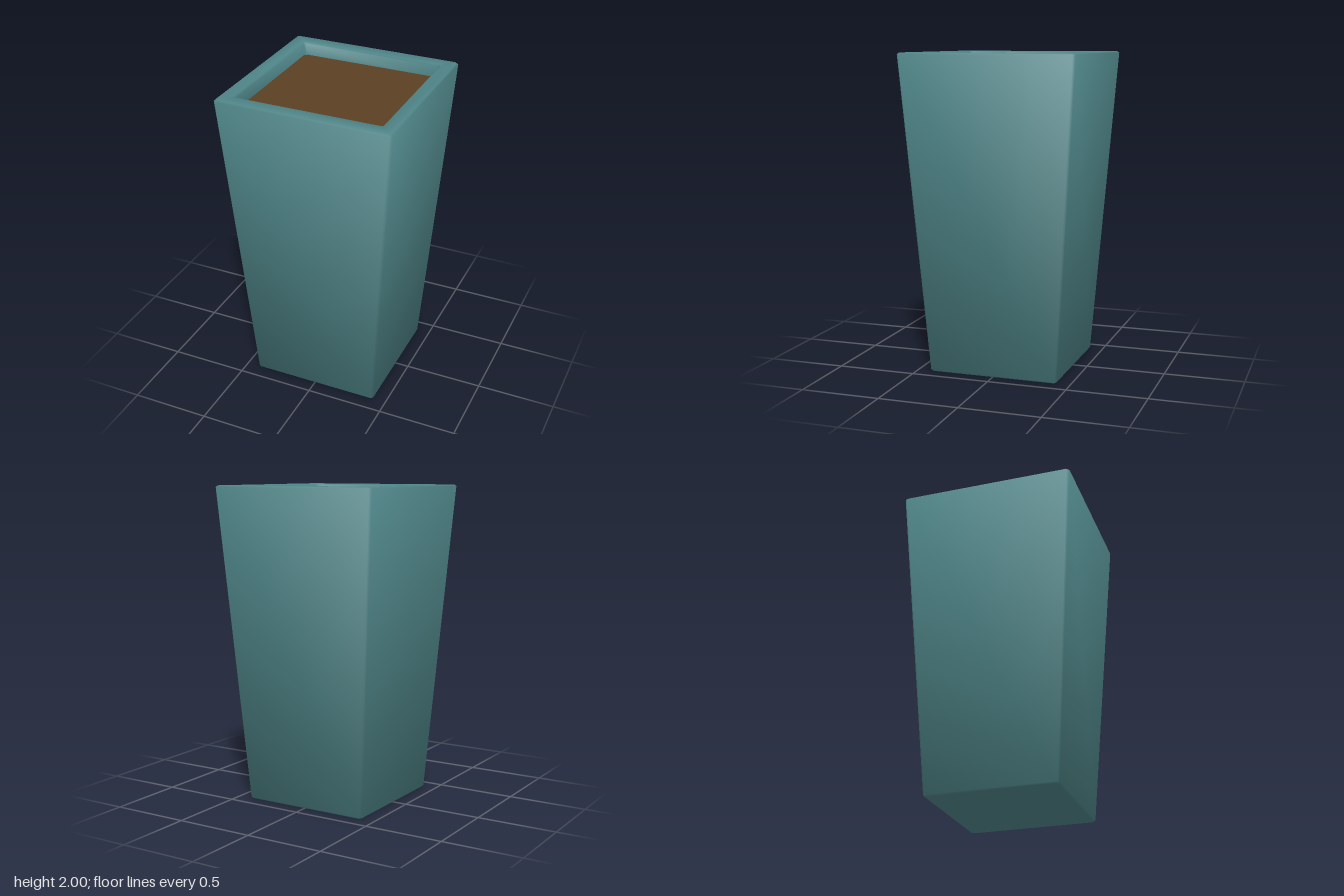
import * as THREE from 'three';

// Chamfered-square cross-section: half width h, corner cut c, height y
function ring([h, c, y]) {
  const pts = [];
  for (let k = 0; k < 4; k++) {
    for (const [x, z] of [[h, h - c], [h - c, h]]) {
      const a = k * Math.PI / 2;
      pts.push(new THREE.Vector3(x * Math.cos(a) - z * Math.sin(a), y, x * Math.sin(a) + z * Math.cos(a)));
    }
  }
  return pts;
}

// Joins the rings into a skin; every face counts equally towards the soft normals
function loft(profile) {
  const pts = profile.flatMap(ring);
  const normals = pts.map(() => new THREE.Vector3());
  const index = [];
  const addFace = (...f) => {
    const u = pts[f[1]].clone().sub(pts[f[0]]);
    const n = u.cross(pts[f[2]].clone().sub(pts[f[0]])).normalize();
    f.forEach((i) => normals[i].add(n));
    for (let k = 1; k < f.length - 1; k++) index.push(f[0], f[k], f[k + 1]);
  };
  addFace(0, 1, 2, 3, 4, 5, 6, 7); // underside
  for (let r = 0; r < profile.length - 1; r++) {
    for (let k = 0; k < 8; k++) {
      const a = r * 8 + k, b = r * 8 + (k + 1) % 8;
      addFace(a, a + 8, b + 8, b);
    }
  }
  const geometry = new THREE.BufferGeometry().setFromPoints(pts);
  const flat = normals.flatMap((n) => n.normalize().toArray());
  geometry.setAttribute('normal', new THREE.Float32BufferAttribute(flat, 3));
  geometry.setIndex(index);
  return geometry;
}

export function createModel() {
  const group = new THREE.Group();
  group.name = 'planter';

  // Tapered pot: underside, outer wall, bevelled rim, inner wall
  const pot = new THREE.Mesh(
    loft([
      [0.405, 0.012, 0],
      [0.415, 0.012, 0.01],
      [0.555, 0.015, 1.99],
      [0.545, 0.012, 2],
      [0.47, 0.012, 2],
      [0.46, 0.012, 1.99],
      [0.453, 0.015, 1.9],
    ]),
    new THREE.MeshStandardMaterial({ color: 0x4f8588, side: THREE.DoubleSide })
  );
  pot.name = 'pot';
  group.add(pot);

  // Flat soil surface just below the rim
  const outline = ring([0.454, 0.018, 0]).map((p) => new THREE.Vector2(p.x, p.z));
  const soil = new THREE.Mesh(
    new THREE.ShapeGeometry(new THREE.Shape(outline)).rotateX(-Math.PI / 2),
    new THREE.MeshStandardMaterial({ color: 0x5c4023, side: THREE.DoubleSide })
  );
  soil.position.y = 1.92;
  soil.name = 'soil';
  group.add(soil);

  return group;
}
